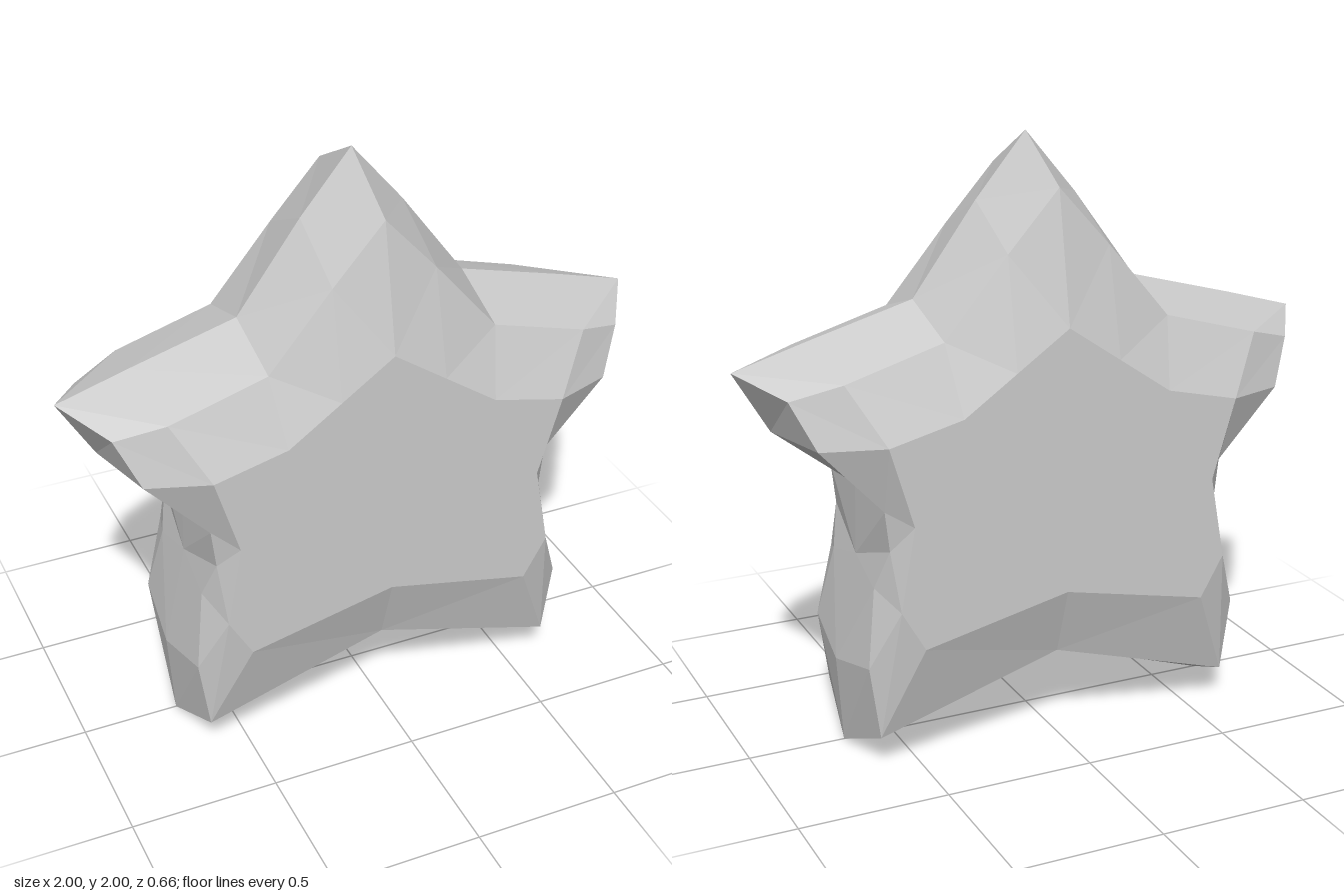
import * as THREE from 'three';

// Cross-section columns of the model's left half, clockwise from the top tip:
// outline [x, y] at z = 0, shoulder [x, y, z], front face corner [x, y]
const COLUMNS = [
  [[0, 2], [0, 1.86, 0.25], [0, 1.43]],              // top tip
  [[0.175, 1.79], [0.175, 1.665, 0.25], [0.18, 1.305]],
  [[0.395, 1.49], [0.39, 1.41, 0.25], [0.36, 1.18]], // neck
  [[0.76, 1.39], [0.72, 1.315, 0.25], [0.61, 1.12]],
  [[1, 1.32], [0.88, 1.265, 0.19], [0.61, 1.12]],    // arm tip
  [[0.88, 1.115], [0.81, 1.112, 0.25], [0.61, 1.12]],
  [[0.605, 0.9], [0.6, 0.885, 0.25], [0.53, 0.85]],  // armpit
  [[0.61, 0.66], [0.585, 0.75, 0.25], [0.58, 0.57]],
  [[0.61, 0.66], [0.62, 0.61, 0.19], [0.58, 0.57]],  // waist
  [[0.69, 0.3], [0.665, 0.36, 0.25], [0.58, 0.57]],
  [[0.67, 0], [0.63, 0.11, 0.25], [0.5, 0.43]],      // foot
  [[0, 0.22], [0, 0.3, 0.25], [0, 0.54]],            // crotch
];
const FACE_Z = 0.33;

function starGeometry() {
  // Close the loop by mirroring the inner columns
  const mirrored = COLUMNS.slice(1, -1).reverse()
    .map((col) => col.map(([x, ...rest]) => [-x, ...rest]));
  const loop = [...COLUMNS, ...mirrored];

  // Rings from front centre over the rim to back centre
  const ring = (k, side) => loop.map((col) => {
    const [x, y, z = k === 2 ? FACE_Z : 0] = col[k];
    return new THREE.Vector3(x, y, z * side);
  });
  const centre = (side) => loop.map(() => new THREE.Vector3(0, 0.9, FACE_Z * side));
  const rings = [centre(1), ring(2, 1), ring(1, 1), ring(0, 1),
    ring(1, -1), ring(2, -1), centre(-1)];

  const positions = [];
  const triangle = (a, b, c) => {
    if (new THREE.Triangle(a, b, c).getArea() < 1e-6) return;
    for (const p of [a, b, c]) positions.push(p.x, p.y, p.z);
  };
  for (let r = 0; r < rings.length - 1; r++) {
    const a = rings[r], b = rings[r + 1];
    for (let i = 0; i < loop.length; i++) {
      const j = (i + 1) % loop.length;
      // Mirror the diagonal on the other half and on the back
      if ((i < COLUMNS.length - 1) === (r < 3)) {
        triangle(a[i], a[j], b[j]);
        triangle(a[i], b[j], b[i]);
      } else {
        triangle(a[i], a[j], b[i]);
        triangle(a[j], b[j], b[i]);
      }
    }
  }
  const geometry = new THREE.BufferGeometry();
  geometry.setAttribute('position', new THREE.Float32BufferAttribute(positions, 3));
  geometry.computeVertexNormals();
  return geometry;
}

export function createModel() {
  const group = new THREE.Group();
  group.name = 'star';
  const material = new THREE.MeshStandardMaterial({ color: 0xcccccc, flatShading: true });
  const body = new THREE.Mesh(starGeometry(), material);
  body.name = 'starBody';
  group.add(body);
  return group;
}
